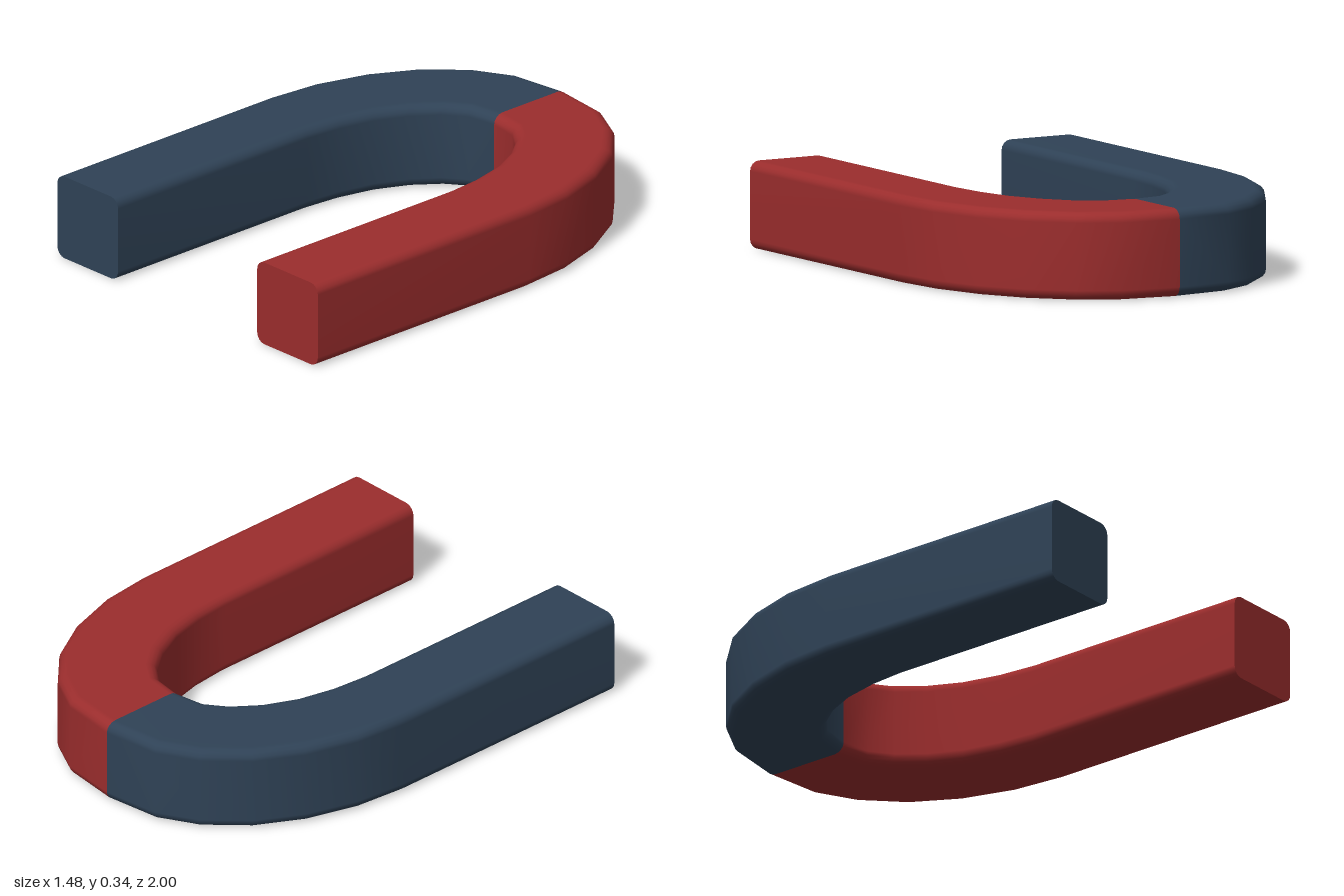
import * as THREE from 'three';

const HEIGHT = 0.345, RADIUS = 0.04, CORNER_STEPS = 4;

// Matching outer and inner plan points [x, z], from the bend's crown to the pole tip
const OUTER = [[0, -1], [0.24, -0.97], [0.4, -0.885], [0.545, -0.74], [0.65, -0.555], [0.717, -0.34], [0.74, -0.12], [0.74, 1]];
const INNER = [[0, -0.62], [0.125, -0.6], [0.21, -0.535], [0.285, -0.435], [0.345, -0.305], [0.38, -0.155], [0.395, 0], [0.395, 1]];

// Rounded-square cross-section as [distance from inner edge, height]
function sectionPoints() {
  const points = [];
  const far = HEIGHT - RADIUS;
  const centres = [[far, far], [RADIUS, far], [RADIUS, RADIUS], [far, RADIUS]];
  centres.forEach(([cx, cy], corner) => {
    for (let k = 0; k <= CORNER_STEPS; k++) {
      const a = (corner + k / CORNER_STEPS) * Math.PI / 2;
      points.push([cx + RADIUS * Math.cos(a), cy + RADIUS * Math.sin(a)]);
    }
  });
  return points;
}

// One half of the horseshoe; side is +1 or -1 in x
function halfGeometry(side) {
  const section = sectionPoints(), n = section.length;
  const positions = [], index = [];
  const face = (a, b, c) => (side > 0 ? index.push(a, b, c) : index.push(a, c, b));
  const addRing = (i) => section.forEach(([u, y]) => {
    const t = u / HEIGHT;
    positions.push(
      side * THREE.MathUtils.lerp(INNER[i][0], OUTER[i][0], t), y,
      THREE.MathUtils.lerp(INNER[i][1], OUTER[i][1], t));
  });

  // Swept skin
  const last = OUTER.length - 1;
  for (let i = 0; i <= last; i++) addRing(i);
  for (let i = 0; i < last; i++) {
    for (let j = 0; j < n; j++) {
      const k = (j + 1) % n;
      const a = i * n + j, b = i * n + k;
      face(a, b, a + n);
      face(b, b + n, a + n);
    }
  }

  // Flat pole face with its own vertices for a sharp edge
  const start = positions.length / 3;
  addRing(last);
  for (let j = 1; j < n - 1; j++) face(start, start + j, start + j + 1);

  const geometry = new THREE.BufferGeometry();
  geometry.setAttribute('position', new THREE.Float32BufferAttribute(positions, 3));
  geometry.setIndex(index);
  geometry.computeVertexNormals();

  // Keep the shading continuous where the two halves meet
  const normal = geometry.attributes.normal, v = new THREE.Vector3();
  for (let j = 0; j < n; j++) {
    v.fromBufferAttribute(normal, j).setX(0).normalize();
    normal.setXYZ(j, v.x, v.y, v.z);
  }
  return geometry;
}

export function createModel() {
  const red = new THREE.MeshStandardMaterial({ color: 0x9b2d2d });
  red.name = 'red';
  const navy = new THREE.MeshStandardMaterial({ color: 0x2f4256 });
  navy.name = 'navy';

  const magnet = new THREE.Group();
  magnet.name = 'horseshoeMagnet';
  for (const [name, side, material] of [['leftPole', 1, red], ['rightPole', -1, navy]]) {
    const half = new THREE.Mesh(halfGeometry(side), material);
    half.name = name;
    magnet.add(half);
  }
  return magnet;
}
